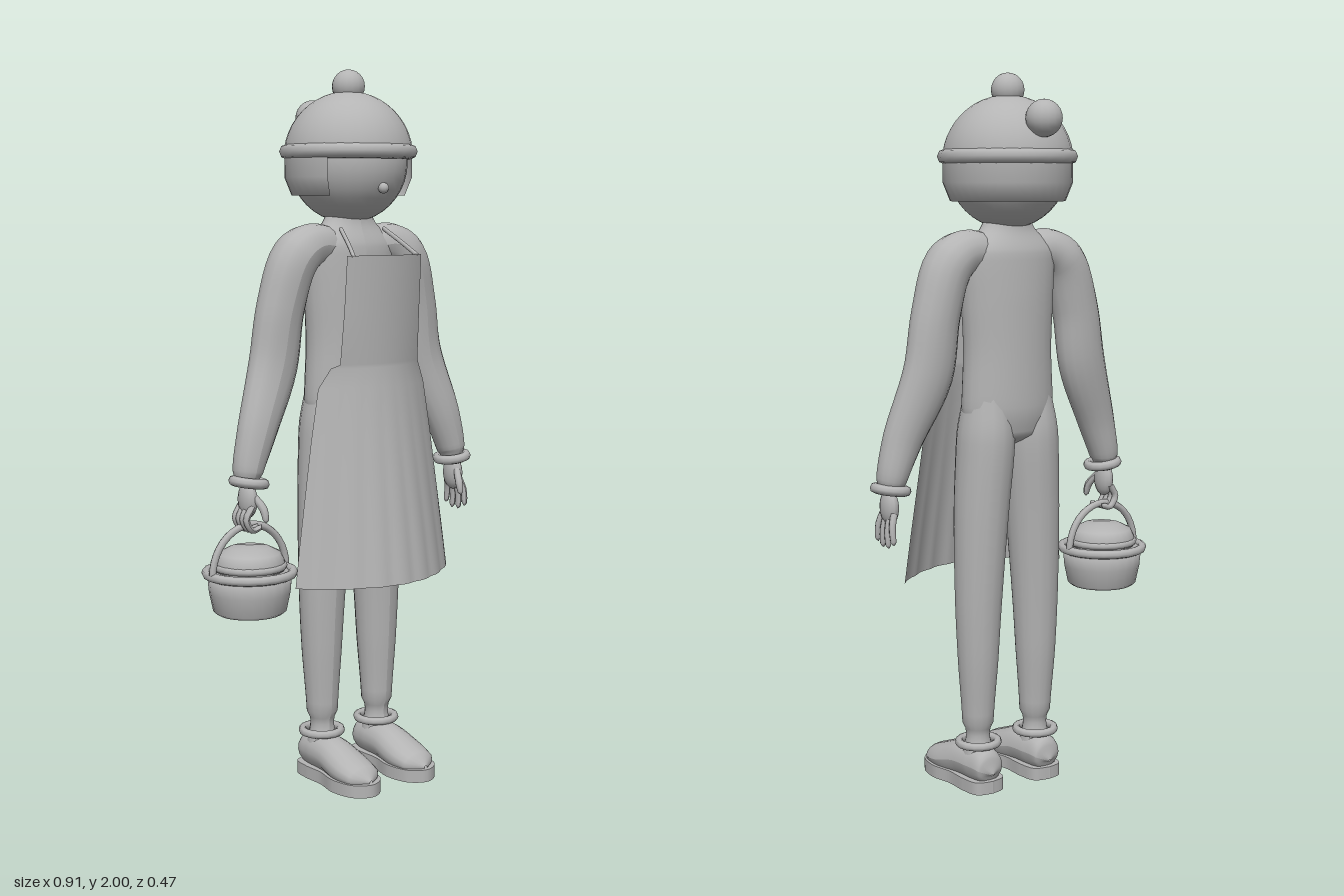
import * as THREE from 'three';

const clay = new THREE.MeshStandardMaterial({ color: 0xb4b4b4 });
clay.name = 'grey clay';
const clayBoth = clay.clone();
clayBoth.side = THREE.DoubleSide;

function add(parent, name, geometry, x = 0, y = 0, z = 0, material = clay) {
  const mesh = new THREE.Mesh(geometry, material);
  mesh.name = name;
  mesh.position.set(x, y, z);
  parent.add(mesh);
  return mesh;
}

// Tapered smooth form along a path of [x, y, z, rx, ry, rz] stations.
function sweep(stations, sides = 16, steps = 6) {
  const curve = new THREE.CatmullRomCurve3(stations.map(s => new THREE.Vector3(s[0], s[1], s[2])));
  const radii = new THREE.CatmullRomCurve3(stations.map(s =>
    new THREE.Vector3(s[3], s[4] ?? s[3], s[5] ?? s[3])));
  curve.getPointAt = curve.getPoint;
  curve.getTangentAt = curve.getTangent;
  const n = (stations.length - 1) * steps;
  const geo = new THREE.TubeGeometry(curve, n, 1, sides, false);
  const pos = geo.attributes.position;
  const v = new THREE.Vector3();
  for (let i = 0; i < pos.count; i++) {
    const t = Math.floor(i / (sides + 1)) / n;
    const centre = curve.getPoint(t);
    v.fromBufferAttribute(pos, i).sub(centre).multiply(radii.getPoint(t)).add(centre);
    pos.setXYZ(i, v.x, v.y, v.z);
  }
  geo.computeVertexNormals();
  return geo;
}

const lathe = (pts, seg = 24, start = 0, length = Math.PI * 2) =>
  new THREE.LatheGeometry(pts.map(p => new THREE.Vector2(...p)), seg, start, length);

function ring(parent, name, radius, tube, x, y, z, sides = 16) {
  return add(parent, name, new THREE.TorusGeometry(radius, tube, 8, sides).rotateX(Math.PI / 2), x, y, z);
}

function makeHead() {
  const head = new THREE.Group();
  head.name = 'head';
  head.position.z = -0.022;
  add(head, 'face', new THREE.SphereGeometry(0.165, 28, 20), 0, 1.75, 0);
  add(head, 'nose', new THREE.SphereGeometry(0.015, 10, 8), 0, 1.68, 0.155);
  add(head, 'hatDome', new THREE.SphereGeometry(0.18, 28, 12, 0, Math.PI * 2, 0, Math.PI / 2), 0, 1.765, 0);
  ring(head, 'hatBrim', 0.172, 0.021, 0, 1.78, 0, 24);
  add(head, 'hatEarFlap', lathe([[0.14, 1.77], [0.13, 1.66], [0.158, 1.66], [0.178, 1.71], [0.178, 1.775]],
    24, 0.98, Math.PI * 2 - 1.96), 0, 0, 0, clayBoth);
  add(head, 'topPompom', new THREE.SphereGeometry(0.046, 16, 12), 0, 1.958, 0);
  add(head, 'backPompom', new THREE.SphereGeometry(0.05, 16, 12), 0, 1.878, -0.165);
  return head;
}

function makeLeg(s) {
  const leg = new THREE.Group();
  leg.name = s > 0 ? 'leftLeg' : 'rightLeg';
  add(leg, 'trouser', sweep([
    [s * 0.07, 1.14, -0.02, 0.06, 0.06, 0.07], [s * 0.075, 1.0, -0.02, 0.08, 0.08, 0.088],
    [s * 0.088, 0.8, -0.017, 0.077, 0.077, 0.08], [s * 0.098, 0.55, -0.017, 0.067],
    [s * 0.1, 0.38, -0.017, 0.058], [s * 0.1, 0.2, -0.015, 0.045], [s * 0.1, 0.1, -0.015, 0.045]]));
  ring(leg, 'ankleCuff', 0.055, 0.012, s * 0.1, 0.14, -0.017);
  add(leg, 'shoe', sweep([
    [0, 0.06, -0.088, 0.005], [0, 0.075, -0.075, 0.042, 0.045, 0.01], [0, 0.08, -0.02, 0.052, 0.055, 0.05],
    [0, 0.078, 0.04, 0.056, 0.053, 0.05], [0, 0.06, 0.11, 0.062, 0.047, 0.05],
    [0, 0.05, 0.175, 0.054, 0.033, 0.03], [0, 0.045, 0.21, 0.005]]), s * 0.1);
  const outline = new THREE.Shape();
  outline.moveTo(0, -0.09);
  outline.splineThru([[0.045, -0.075], [0.056, -0.02], [0.055, 0.05], [0.067, 0.12], [0.05, 0.19], [0, 0.22],
    [-0.05, 0.19], [-0.067, 0.12], [-0.055, 0.05], [-0.056, -0.02], [-0.045, -0.075], [0, -0.09]]
    .map(p => new THREE.Vector2(...p)));
  add(leg, 'sole', new THREE.ExtrudeGeometry(outline, { depth: 0.036, bevelEnabled: false, curveSegments: 24 })
    .rotateX(Math.PI / 2), s * 0.1, 0.042, 0);
  return leg;
}

function makeArm(s) {
  const arm = new THREE.Group();
  arm.name = s > 0 ? 'leftArm' : 'rightArm';
  add(arm, 'sleeve', sweep([
    [s * 0.05, 1.515, -0.015, 0.05], [s * 0.13, 1.525, -0.015, 0.06], [s * 0.19, 1.49, -0.015, 0.068],
    [s * 0.235, 1.36, -0.02, 0.07, 0.07, 0.06], [s * 0.262, 1.2, -0.02, 0.074, 0.074, 0.052],
    [s * 0.33, 1.03, 0, 0.058, 0.058, 0.047], [s * 0.365, 0.92, 0.005, 0.042],
    [s * 0.367, 0.885, 0.01, 0.025]]));
  ring(arm, 'wristCuff', 0.043, 0.014, s * 0.365, 0.893, 0.01).rotation.z = s * 0.15;
  const palm = add(arm, 'palm', new THREE.SphereGeometry(1, 14, 10), s * 0.37, 0.845, 0.01);
  palm.scale.set(0.022, 0.05, 0.036);
  // Fingers hang loose on the left hand and curl round the handle on the right.
  for (let i = 0; i < 4; i++) {
    const z = -0.018 + i * 0.018, drop = i === 0 || i === 3 ? 0.012 : 0;
    add(arm, 'finger', sweep(s > 0
      ? [[0.372, 0.83, z, 0.01], [0.383, 0.785 + drop, z * 1.3 - 0.003, 0.0095],
        [0.384, 0.745 + drop, z * 1.5 - 0.006, 0.008], [0.382, 0.735 + drop, z * 1.5 - 0.006, 0.001]]
      : [[-0.372, 0.83, z, 0.01], [-0.392, 0.795, z, 0.0095],
        [-0.373, 0.765, z, 0.009], [-0.35, 0.77, z, 0.008], [-0.343, 0.778, z, 0.001]], 8, 3));
  }
  add(arm, 'thumb', sweep([[s * 0.367, 0.86, 0.03, 0.01], [s * 0.352, 0.825, 0.058, 0.011],
    [s * 0.35, 0.795, 0.067, 0.008], [s * 0.35, 0.787, 0.068, 0.001]], 8, 3));
  return arm;
}

// Open curved bib and flared skirt; rows are [height, half width, middle z, edge z].
function makeApron() {
  const rows = [[1.5, 0.13, 0.17, 0.14], [1.35, 0.132, 0.16, 0.13], [1.205, 0.137, 0.15, 0.118],
    [1.195, 0.155, 0.15, 0.1], [1.14, 0.187, 0.155, 0.085], [1.0, 0.212, 0.175, 0.088],
    [0.85, 0.235, 0.198, 0.092], [0.72, 0.255, 0.217, 0.096], [0.6, 0.272, 0.235, 0.1]];
  const columns = 48;
  const geo = new THREE.PlaneGeometry(2, 1, columns, rows.length - 1);
  const pos = geo.attributes.position;
  for (let i = 0; i < pos.count; i++) {
    const [y, w, mid, edge] = rows[Math.floor(i / (columns + 1))];
    const u = pos.getX(i);
    const pleat = 0.006 * Math.max(0, (1.14 - y) / 0.54) * (Math.abs(Math.cos(u * Math.PI * 3.5)) - 1);
    pos.setXYZ(i, u * w, y, mid - (mid - edge) * u * u + pleat);
  }
  geo.computeVertexNormals();
  const apron = new THREE.Group();
  apron.name = 'apron';
  add(apron, 'apronCloth', geo, 0, 0, 0, clayBoth);
  for (const s of [-1, 1])
    add(apron, 'apronStrap', sweep([[s * 0.112, 1.495, 0.147, 0.006], [s * 0.095, 1.53, 0.1, 0.006],
      [s * 0.075, 1.57, 0.04, 0.006]], 6, 4));
  return apron;
}

function makeBasket() {
  const basket = new THREE.Group();
  basket.name = 'basket';
  basket.position.set(-0.325, 0, 0.003);
  add(basket, 'bowl', lathe([[0, 0.53], [0.09, 0.53], [0.101, 0.538], [0.112, 0.59], [0.117, 0.645], [0, 0.65]]));
  ring(basket, 'basketRim', 0.119, 0.013, 0, 0.643, 0, 20);
  ring(basket, 'lidRim', 0.092, 0.011, 0, 0.662, 0, 20);
  add(basket, 'lid', lathe([[0.096, 0.65], [0.096, 0.675], [0.085, 0.698], [0.055, 0.713], [0, 0.718]]));
  const handle = add(basket, 'handle', new THREE.TorusGeometry(0.121, 0.01, 8, 20, Math.PI), 0, 0.645, 0);
  handle.scale.y = 1.07;
  return basket;
}

export function createModel() {
  const model = new THREE.Group();
  model.name = 'figureWithBasket';
  const body = new THREE.Group();
  body.name = 'figure';
  body.position.x = 0.035;
  add(body, 'torso', sweep([
    [0, 1.64, -0.02, 0.05], [0, 1.585, -0.02, 0.085, 0.06, 0.055], [0, 1.52, -0.02, 0.15, 0.08, 0.078],
    [0, 1.4, -0.02, 0.145, 0.1, 0.085], [0, 1.25, -0.02, 0.137, 0.1, 0.088],
    [0, 1.1, -0.02, 0.143, 0.1, 0.09], [0, 1.02, -0.02, 0.12, 0.1, 0.075], [0, 0.98, -0.02, 0.01]], 24));
  body.add(makeHead(), makeApron());
  for (const s of [-1, 1]) body.add(makeLeg(s), makeArm(s));
  model.add(body, makeBasket());
  return model;
}
